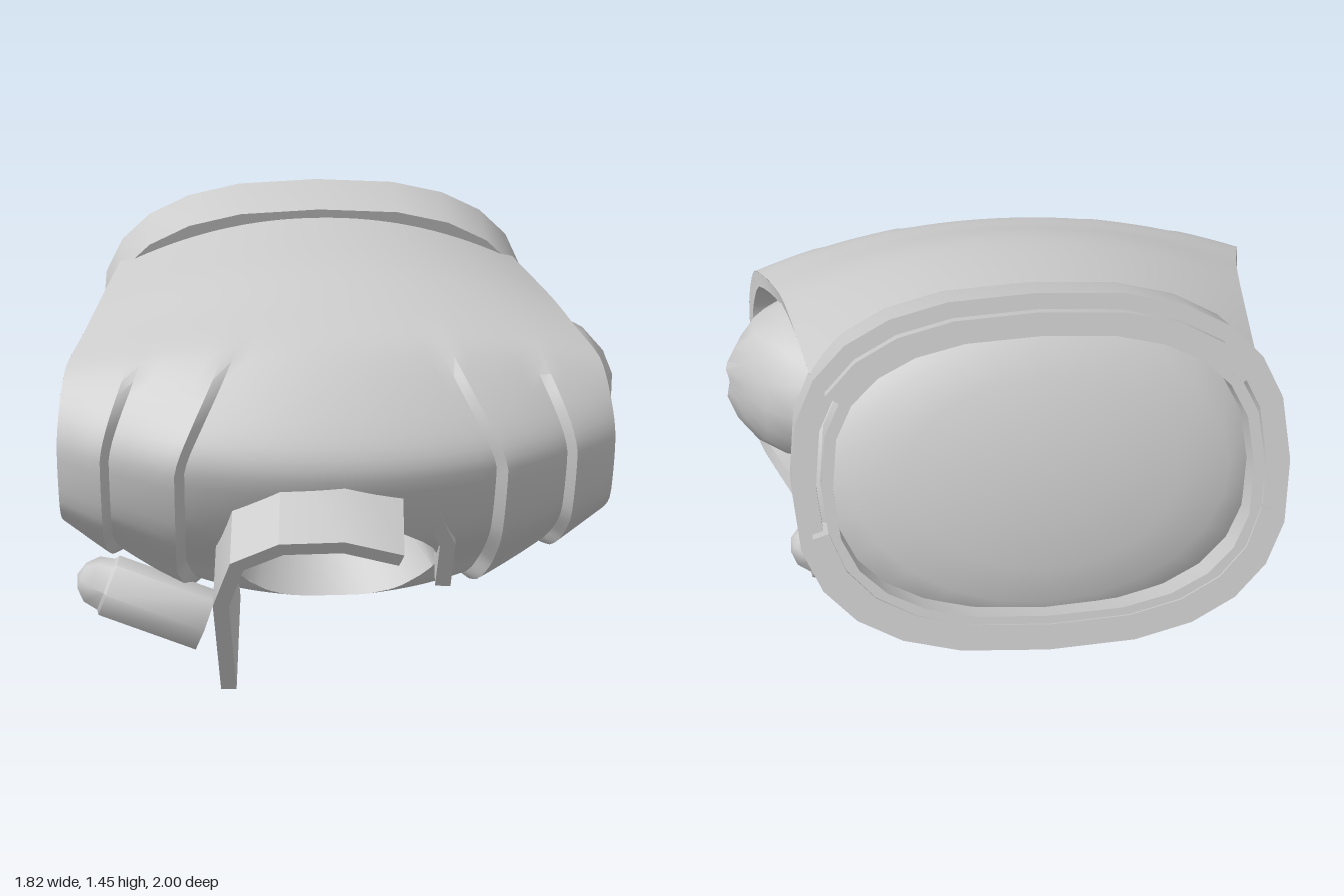
import * as THREE from 'three';
import { toCreasedNormals } from 'three/addons/utils/BufferGeometryUtils.js';

const V = (x, y, z) => new THREE.Vector3(x, y, z);
const mat = new THREE.MeshStandardMaterial({ color: 0xcccccc, side: THREE.DoubleSide });

function mesh(name, geometry, crease = 0.5) {
  const m = new THREE.Mesh(toCreasedNormals(geometry, crease), mat);
  m.name = name;
  return m;
}

// Surface through a grid of points; cells rejected by skip() stay open.
function loft(rows, skip = () => false) {
  const n = rows[0].length, pos = [], index = [];
  rows.forEach((r) => r.forEach((p) => pos.push(p.x, p.y, p.z)));
  const tri = (a, b, c) => { if (!skip(a, b, c)) index.push(a, b, c); };
  for (let i = 0; i < rows.length - 1; i++) {
    for (let j = 0; j < n - 1; j++) {
      const a = i * n + j;
      tri(a, a + n, a + 1);
      tri(a + 1, a + n, a + n + 1);
    }
  }
  const g = new THREE.BufferGeometry();
  g.setAttribute('position', new THREE.Float32BufferAttribute(pos, 3));
  g.setIndex(index);
  return g;
}

// Side profiles running top-back, round the front, to bottom-back.
// Middle profile: (step strength, y, z). Rim profile: (half width, y, z).
const middle = new THREE.CatmullRomCurve3([
  V(0, 0.385, -0.6), V(0, 0.5, -0.06), V(0, 0.51, 0.22), V(0.1, 0.503, 0.465), V(0.7, 0.341, 0.708), V(1, 0.212, 0.794),
  V(1, -0.07, 0.74), V(1, -0.348, 0.538), V(0.7, -0.5, 0.43), V(0, -0.585, -0.17), V(0, -0.64, -0.6),
], false, 'catmullrom', 0.4);
const rim = new THREE.CatmullRomCurve3([
  V(0.7, 0.19, -0.62), V(0.76, 0.33, -0.1), V(0.8, 0.365, 0.14), V(0.85, 0.375, 0.36), V(0.87, 0.3, 0.48), V(0.88, 0.2, 0.55),
  V(0.88, 0, 0.56), V(0.88, -0.13, 0.45), V(0.87, -0.21, 0.33), V(0.81, -0.28, 0.08), V(0.7, -0.316, -0.62),
], false, 'catmullrom', 0.4);

// Point on the shell: u along the profile, v across from right (-1) to left (1).
function shellPoint(u, v, offset = 0) {
  const m = middle.getPoint(u), r = rim.getPoint(u);
  const w = THREE.MathUtils.clamp(m.x, 0, 1);
  const vw = v - 0.2 * (1 - w) * Math.sin(Math.PI * v);
  const f = Math.pow(Math.abs(vw), 2.1);
  const y = THREE.MathUtils.lerp(m.y, r.y, f), z = THREE.MathUtils.lerp(m.z, r.z, f);
  const k = (offset * w) / Math.hypot(y + 0.05, z);
  return V(r.x * vw, y + (y + 0.05) * k, z + z * k);
}

// Columns [v, offset] with two overlapping, slanted steps per side.
function shellColumns() {
  const half = [];
  for (let i = 0; i <= 10; i++) half.push([0.055 * i, 0]);
  for (let i = 0; i <= 5; i++) half.push([0.585 + 0.046 * i, 0.05 * (1 - i / 6)]);
  for (let i = 0; i <= 4; i++) half.push([0.845 + 0.03875 * i, 0.055 * (1 - i / 8)]);
  return [...half.slice(1).reverse().map(([v, o]) => [-v, o]), ...half];
}

const HOLE = { u: 0.675, a: 0.115, b: 0.38 };

function buildShell() {
  const cols = shellColumns(), rows = [], inside = [];
  for (let i = 0; i <= 44; i++) {
    const u = i / 44;
    rows.push(cols.map(([v, o]) => {
      const r = Math.hypot((u - HOLE.u) / HOLE.a, v / HOLE.b);
      inside.push(r < 1);
      // points within the intake move out to its edge
      return r < 1 && r > 1e-4 ? shellPoint(HOLE.u + (u - HOLE.u) / r, v / r, o) : shellPoint(u, v, o);
    }));
  }
  return mesh('shell', loft(rows, (a, b, c) => inside[a] && inside[b] && inside[c]), 0.45);
}

// Recessed intake behind the front hole.
function buildIntake() {
  const edge = [], deep = [];
  for (let i = 0; i <= 28; i++) {
    const t = (i / 28) * Math.PI * 2;
    const p = shellPoint(HOLE.u + HOLE.a * Math.cos(t), HOLE.b * Math.sin(t));
    edge.push(p);
    deep.push(V(p.x * 0.82, p.y + 0.06, p.z - 0.22));
  }
  const mid = deep.reduce((s, p) => s.add(p), V(0, 0, 0)).divideScalar(deep.length);
  return mesh('intake', loft([edge, deep, deep.map(() => mid.clone())]));
}

// Rim, recess wall and floor of one side opening.
function buildSideOpening(s) {
  const rows = [[], [], [], []];
  for (let i = 0; i <= 30; i++) {
    const u = i / 30, r = rim.getPoint(u);
    const y = THREE.MathUtils.lerp(r.y, 0.03, 0.14), z = r.z - 0.1 * Math.max(0, r.z);
    rows[0].push(shellPoint(u, s, 0.0275));
    rows[1].push(V(s * (r.x - 0.01), y, z));
    rows[2].push(V(s * (0.66 + 0.08 * z), y * 0.97, z * 0.97));
    rows[3].push(V(s * 0.645, 0.02, -0.2));
  }
  // close the floor along the back edge
  rows.forEach((row, i) => row.push(row[i > 1 ? 0 : row.length - 1].clone()));
  return mesh(s > 0 ? 'leftOpening' : 'rightOpening', loft(rows));
}

// Peaked oval bulge, steeper towards the back.
function buildBulge() {
  const rows = [0, 0.25, 0.5, 0.75, 0.92, 1].map((r, k, all) => {
    const row = [];
    for (let i = 0; i <= 16; i++) {
      const t = (i / 16) * Math.PI * 2;
      const y = r * 0.29 * Math.sin(t), z = 0.06 + r * 0.4 * Math.cos(t);
      const slope = z < 0 ? 0.65 * -z : 0.35 * z;
      const x = 0.915 - slope - 0.16 * (y / 0.29) ** 2 - (r > 0.8 ? 0.04 : 0);
      row.push(V(k === all.length - 1 ? 0.55 : x, 0.83 + y - 0.1 * z, z));
    }
    return row;
  });
  return mesh('sideBulge', loft(rows.reverse()), 0.7);
}

// Rounded oval band about the body axis, over an angle range.
function band(name, a, b, thick, z0, z1, t0 = 0, t1 = Math.PI * 2) {
  const at = (t, d) => {
    const c = Math.cos(t), s = Math.sin(t);
    return new THREE.Vector2(
      (a - d) * Math.sign(c) * Math.pow(Math.abs(c), 0.77),
      (b - d) * Math.sign(s) * Math.pow(Math.abs(s), 0.77) - 0.135);
  };
  const n = Math.max(6, Math.round((24 * (t1 - t0)) / (Math.PI * 2)));
  const outer = [], inner = [];
  for (let i = 0; i <= n; i++) {
    const t = t0 + ((t1 - t0) * i) / n;
    outer.push(at(t, 0));
    inner.unshift(at(t, thick));
  }
  const g = new THREE.ExtrudeGeometry(new THREE.Shape([...outer, ...inner]), { depth: z1 - z0, bevelEnabled: false });
  return mesh(name, g.translate(0, 0, z0));
}

// Flat strip following a polyline, extruded between z0 and z1.
function strip(name, points, thick, z0, z1) {
  const p = points.map(([x, y]) => new THREE.Vector2(x, y));
  const inner = p.map((q, i) => {
    const d = p[Math.min(i + 1, p.length - 1)].clone().sub(p[Math.max(i - 1, 0)]).normalize();
    return new THREE.Vector2(q.x + d.y * thick, q.y - d.x * thick);
  });
  const g = new THREE.ExtrudeGeometry(new THREE.Shape([...p, ...inner.reverse()]), { depth: z1 - z0, bevelEnabled: false });
  return mesh(name, g.translate(0, 0, z0), 0.4);
}

// Round-ended six-sided peg from its flat end towards its tip.
function peg(name, from, to) {
  const L = from.distanceTo(to), r = 0.105;
  const pts = [[0, 0], [r, 0], [r, L - 0.11], [0.09, L - 0.1], [0.08, L - 0.05], [0.045, L - 0.015], [0, L]];
  const m = mesh(name, new THREE.LatheGeometry(pts.map(([x, y]) => new THREE.Vector2(x, y)), 6), 1.1);
  m.position.copy(from);
  m.quaternion.setFromUnitVectors(V(0, 1, 0), to.clone().sub(from).normalize());
  return m;
}

export function createModel() {
  const model = new THREE.Group();

  // Tilted body
  const body = new THREE.Group();
  body.name = 'body';
  body.rotation.set(0.32, 0.07, 0, 'YXZ');
  body.position.set(-0.065, 0.8, 0);
  body.add(buildShell(), buildIntake(), buildSideOpening(1), buildSideOpening(-1));

  // Rear collar with a split sleeve and a domed back plate
  body.add(band('collar', 0.775, 0.565, 0.075, -0.77, -0.545));
  body.add(band('innerSleeve', 0.685, 0.475, 0.035, -0.82, -0.55));
  body.add(band('upperSleeve', 0.73, 0.515, 0.05, -0.83, -0.6, 0.5, Math.PI - 0.5));
  body.add(band('lowerSleeve', 0.73, 0.515, 0.05, -0.83, -0.6, Math.PI + 0.2, Math.PI * 2 - 0.2));
  const plate = mesh('backPlate', new THREE.SphereGeometry(1, 24, 5, 0, Math.PI * 2, 0, Math.PI / 2)
    .rotateX(-Math.PI / 2).scale(0.73, 0.52, 0.16), 1);
  plate.position.set(0, -0.135, -0.64);
  body.add(plate);
  model.add(body, buildBulge());

  // Hood over the intake: long right leg, short left stub
  const hood = new THREE.Group();
  hood.name = 'hood';
  hood.rotation.x = 0.53;
  hood.position.set(0, 0.62, 1.0);
  hood.add(strip('hoodArch', [[-0.4, -0.718], [-0.41, -0.3], [-0.35, -0.1], [-0.2, -0.01], [0, 0], [0.18, -0.06]], 0.05, -0.385, 0));
  hood.add(strip('hoodStub', [[0.18, -0.06], [0.29, -0.13], [0.35, -0.3], [0.34, -0.5]], 0.05, -0.44, -0.25));
  model.add(hood);

  // Underside pegs
  model.add(
    peg('leftPeg', V(0.29, 0.2, -0.25), V(0.7, 0.36, -0.25)),
    peg('rightRearPeg', V(-0.43, 0.21, -0.2), V(-0.86, 0.37, -0.2)),
    peg('rightFrontPeg', V(-0.46, 0.15, 0.4), V(-0.88, 0.31, 0.4)),
  );
  return model;
}
